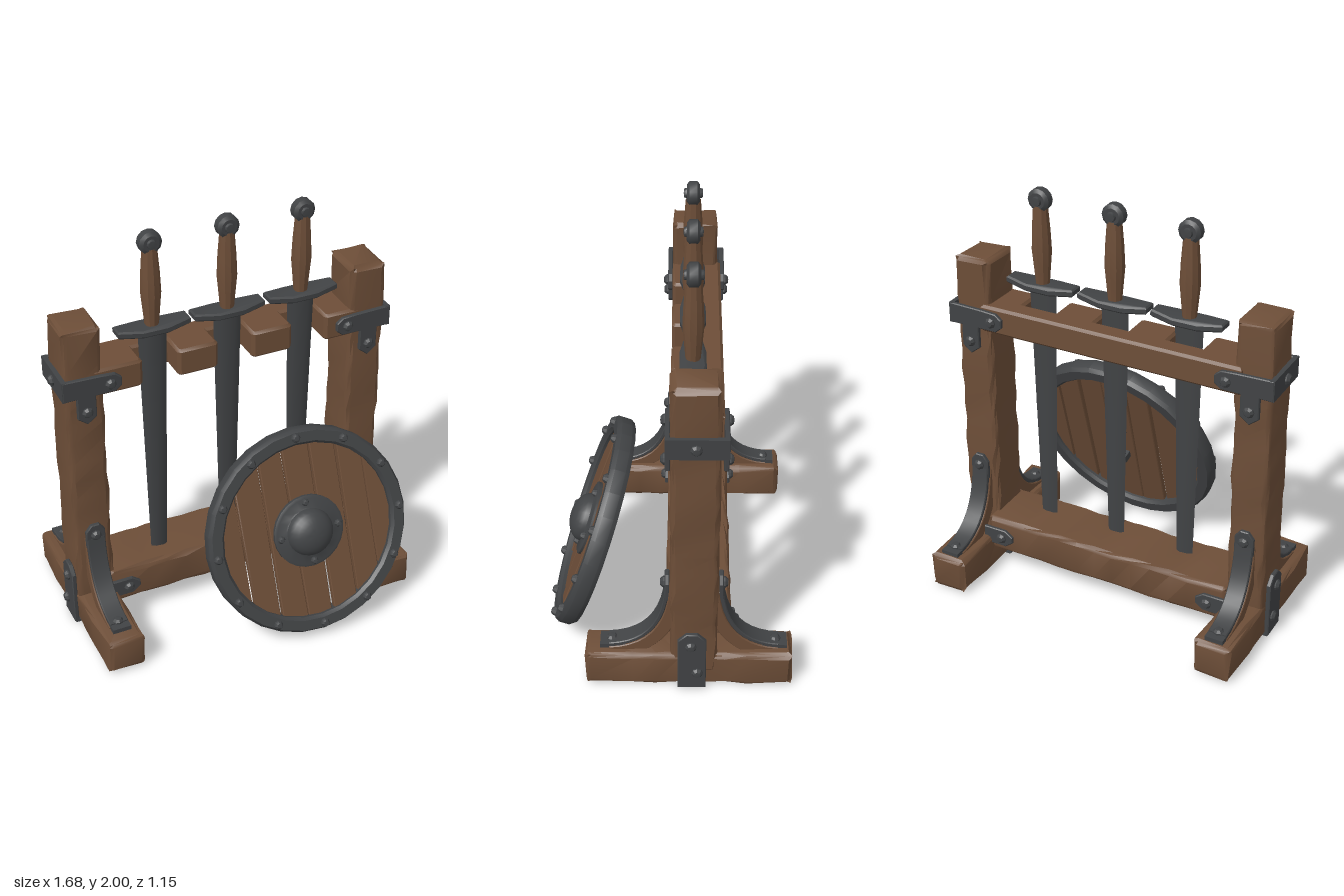
import * as THREE from 'three';
import { toCreasedNormals } from 'three/addons/utils/BufferGeometryUtils.js';

const wood = new THREE.MeshStandardMaterial({ color: 0x6d4e38 });
wood.name = 'brown wood';
const iron = new THREE.MeshStandardMaterial({ color: 0x414345 });
iron.name = 'dark iron';

function add(parent, name, geo, mat, x = 0, y = 0, z = 0) {
  const mesh = new THREE.Mesh(toCreasedNormals(geo, 0.6), mat);
  mesh.name = name;
  mesh.position.set(x, y, z);
  parent.add(mesh);
  return mesh;
}

// Rough-hewn timber: a box with worn edges and a slow wave along its length
function timber(w, h, d, seed, wear = 0.022, wave = 0.006) {
  const half = [w / 2, h / 2, d / 2];
  const seg = [w, h, d].map((s) => Math.max(3, Math.round(s / 0.1)));
  const geo = new THREE.BoxGeometry(w, h, d, ...seg);
  const p = geo.attributes.position;
  for (let i = 0; i < p.count; i++) {
    const v = [p.getX(i), p.getY(i), p.getZ(i)];
    const ends = v.map((c, k) => Math.abs(c) > half[k] - 1e-4);
    const onEdge = ends.filter(Boolean).length > 1;
    const o = v.map((c, k) => {
      const step = (2 * half[k]) / seg[k];
      if (ends[k]) return Math.sign(c) * (half[k] - (onEdge ? wear * 0.35 : 0));
      if (Math.abs(c) > half[k] - step - 1e-4) return Math.sign(c) * (half[k] - wear);
      return c;
    });
    const n = (a, b) => wave * Math.sin(a * 9 + b * 13 + seed) * Math.sin(a * 23 + seed * 2.7);
    p.setXYZ(i, o[0] + n(v[1] + v[2], v[0]), o[1] + n(v[0] + v[2], v[1]), o[2] + n(v[0] + v[1], v[2]));
  }
  return geo;
}

// Extruded outline, centred on its thickness
function slab(pts, depth, bevel = 0.004) {
  const shape = new THREE.Shape(pts.map(([x, y]) => new THREE.Vector2(x, y)));
  const geo = new THREE.ExtrudeGeometry(shape, {
    depth: depth - 2 * bevel, bevelEnabled: bevel > 0, bevelThickness: bevel,
    bevelSize: bevel, bevelOffset: -bevel, bevelSegments: 1,
  });
  return geo.translate(0, 0, bevel - depth / 2);
}

// Lathe turned to face +z
function turned(pts, sides) {
  return new THREE.LatheGeometry(pts.map(([r, y]) => new THREE.Vector2(r, y)), sides).rotateX(Math.PI / 2);
}

// Domed bolt head; dir is the axis it sticks out along
function bolt(parent, x, y, z, dir = [0, 0, 1], r = 0.026) {
  const geo = turned([[r, -0.004], [r, 0.008], [r * 0.6, 0.02], [0, 0.022]], 8);
  const mesh = add(parent, 'bolt', geo, iron, x, y, z);
  mesh.quaternion.setFromUnitVectors(new THREE.Vector3(0, 0, 1), new THREE.Vector3(...dir));
}

// Strip following a curve between two offsets, laid out in the z-y plane
function curvedBand(curve, inner, outer, width, dir) {
  const near = [], far = [];
  for (let i = 0; i <= 10; i++) {
    const c = curve.getPoint(i / 10), t = curve.getTangent(i / 10);
    near.push([dir * (c.x - t.y * outer), c.y + t.x * outer]);
    far.unshift([dir * (c.x - t.y * inner), c.y + t.x * inner]);
  }
  return slab(near.concat(far), width).rotateY(-Math.PI / 2);
}

function buildSide(s) {
  const side = new THREE.Group();
  side.name = s > 0 ? 'leftSupport' : 'rightSupport';
  const cx = s * 0.71;
  add(side, 'post', timber(0.18, 1.56, 0.215, s + 2), wood, cx, 0.86, -0.113);
  add(side, 'foot', timber(0.185, 0.18, 0.95, s * 2 + 5), wood, cx, 0.097, -0.095);

  // Curved braces with iron straps, front and back
  const curve = new THREE.QuadraticBezierCurve(
    new THREE.Vector2(0.005, 0.53), new THREE.Vector2(0.03, 0.21), new THREE.Vector2(0.28, 0.195));
  for (const dir of [1, -1]) {
    const face = dir > 0 ? -0.005 : -0.221;
    const bx = s * 0.708;
    add(side, 'brace', curvedBand(curve, -0.065, 0, 0.1, dir), wood, bx, 0, face);
    add(side, 'braceStrap', curvedBand(curve, 0, 0.02, 0.09, dir), iron, bx, 0, face);
    add(side, 'braceStrapTop', slab([[-0.047, 0.48], [0.047, 0.48], [0.047, 0.57], [0.02, 0.605], [-0.02, 0.605], [-0.047, 0.57]], 0.022),
      iron, bx, 0, face + dir * 0.013);
    add(side, 'braceStrapToe', new THREE.BoxGeometry(0.09, 0.022, 0.12), iron, bx, 0.198, face + dir * 0.26);
    bolt(side, bx, 0.55, face + dir * 0.024, [0, 0, dir]);
    bolt(side, bx, 0.208, face + dir * 0.265, [0, 1, 0]);

    // Tee-shaped bracket holding the upper beam
    const tee = [[0.82, 1.31], [0.82, 1.41], [0.64, 1.405], [0.57, 1.4], [0.54, 1.375], [0.54, 1.335], [0.57, 1.31],
      [0.665, 1.31], [0.665, 1.205], [0.71, 1.17], [0.755, 1.205], [0.755, 1.31]];
    const front = dir > 0 ? 0.006 : -0.244;
    add(side, 'upperBracket', slab(tee.map(([x, y]) => [s * x, y]), 0.022), iron, 0, 0, front);
    bolt(side, s * 0.595, 1.355, front + dir * 0.01, [0, 0, dir]);
    bolt(side, cx, 1.235, front + dir * 0.01, [0, 0, dir]);

    // Pointed bracket on the lower beam
    const low = [[0.66, 0.15], [0.66, 0.24], [0.54, 0.24], [0.5, 0.21], [0.5, 0.18], [0.54, 0.15]];
    const lowFace = dir > 0 ? 0.024 : -0.296;
    add(side, 'lowerBracket', slab(low.map(([x, y]) => [s * x, y]), 0.02), iron, 0, 0, lowFace);
    bolt(side, s * 0.56, 0.195, lowFace + dir * 0.009, [0, 0, dir]);
  }
  add(side, 'upperBracketSide', new THREE.BoxGeometry(0.022, 0.1, 0.268), iron, s * 0.81, 1.36, -0.119);
  bolt(side, s * 0.82, 1.36, -0.115, [s, 0, 0]);

  // Stirrup strap under the foot
  const strap = [[-0.065, 0.005], [0.065, 0.005], [0.065, 0.29], [0.025, 0.33], [-0.025, 0.33], [-0.065, 0.29]];
  add(side, 'stirrupOuter', slab(strap, 0.022).rotateY(Math.PI / 2), iron, s * 0.811, 0, -0.105);
  add(side, 'stirrupInner', new THREE.BoxGeometry(0.02, 0.23, 0.13), iron, s * 0.61, 0.12, -0.105);
  add(side, 'stirrupBase', new THREE.BoxGeometry(0.21, 0.014, 0.13), iron, cx, 0.008, -0.105);
  bolt(side, s * 0.82, 0.26, -0.1, [s, 0, 0]);
  bolt(side, s * 0.82, 0.1, -0.13, [s, 0, 0]);
  bolt(side, s * 0.602, 0.07, -0.105, [-s, 0, 0]);
  return side;
}

const swordX = [-0.345, 0.025, 0.4];

function buildSword(x) {
  const sword = new THREE.Group();
  sword.name = 'sword';
  sword.position.set(x, 0, -0.1);
  const blade = new THREE.CylinderGeometry(0.07, 0.042, 1.24, 6, 1, false, Math.PI / 2).scale(1, 1, 0.3);
  add(sword, 'blade', blade, iron, 0, 0.9, 0);
  const guard = slab([[-0.175, -0.035], [-0.06, -0.058], [0.06, -0.058], [0.175, -0.035],
    [0.175, 0.035], [0.06, 0.058], [-0.06, 0.058], [-0.175, 0.035]], 0.036, 0.008).rotateX(Math.PI / 2);
  const p = guard.attributes.position;
  for (let i = 0; i < p.count; i++) p.setY(i, p.getY(i) + 0.4 * p.getX(i) ** 2);
  add(sword, 'guard', guard, iron, 0, 1.52, 0);
  const grip = [[0.032, 1.53], [0.038, 1.6], [0.047, 1.7], [0.043, 1.8], [0.034, 1.92]];
  add(sword, 'grip', new THREE.LatheGeometry(grip.map(([r, y]) => new THREE.Vector2(r, y)), 10), wood);
  const pommel = [[0, -0.044], [0.02, -0.042], [0.023, -0.03], [0.038, -0.03], [0.054, -0.018],
    [0.054, 0.018], [0.038, 0.03], [0.023, 0.03], [0.02, 0.042], [0, 0.044]];
  add(sword, 'pommel', turned(pommel, 12), iron, 0, 1.946, 0);
  return sword;
}

function buildShield() {
  const shield = new THREE.Group();
  shield.name = 'shield';
  shield.position.set(0.225, 0.515, 0.36);
  shield.rotation.set(-0.325, -0.04, 0.03);

  // Planks cut to the round, with narrow uneven gaps
  const R = 0.465, n = 7, step = (2 * R) / n;
  for (let i = 0; i < n; i++) {
    const a = -R + i * step, lean = 0.008 * Math.sin(i * 2.4);
    const l = a + 0.004 + 0.003 * (i % 3), r = a + step - 0.003;
    const pts = [];
    for (const top of [-1, 1]) {
      for (let k = 0; k <= 5; k++) {
        const f = top < 0 ? k / 5 : 1 - k / 5;
        const x = THREE.MathUtils.clamp(l + (r - l) * f + lean * top * (f - 0.3), -R, R);
        pts.push([x, top * Math.max(0.02, Math.sqrt(R * R - x * x))]);
      }
    }
    add(shield, 'plank', slab(pts, 0.032), wood, 0, 0, 0.004 * Math.sin(i * 1.9));
  }

  const rim = [[0.495, -0.045], [0.508, -0.025], [0.508, 0.025], [0.495, 0.045], [0.445, 0.045],
    [0.432, 0.03], [0.432, -0.03], [0.445, -0.045], [0.495, -0.045]];
  add(shield, 'rim', turned(rim, 28), iron);
  for (let i = 0; i < 12; i++) {
    const t = (i / 12) * Math.PI * 2;
    bolt(shield, 0.472 * Math.cos(t), 0.472 * Math.sin(t), 0.045, [0, 0, 1], 0.022);
  }

  // Domed boss on a flat flange
  const boss = [[0.178, 0.01], [0.178, 0.03], [0.165, 0.036], [0.122, 0.036]];
  for (let k = 0; k <= 6; k++) {
    const t = (k / 6) * Math.PI / 2;
    boss.push([0.116 * Math.cos(t), 0.04 + 0.075 * Math.sin(t)]);
  }
  add(shield, 'boss', turned(boss, 24), iron);
  for (let i = 0; i < 4; i++) {
    const t = i * Math.PI / 2;
    bolt(shield, 0.148 * Math.cos(t), 0.148 * Math.sin(t), 0.035, [0, 0, 1], 0.018);
  }

  // Hand grip on the back
  add(shield, 'handle', new THREE.BoxGeometry(0.04, 0.18, 0.025), iron, 0, 0, -0.055);
  for (const s of [1, -1]) add(shield, 'handleMount', new THREE.BoxGeometry(0.06, 0.04, 0.055), iron, 0, s * 0.09, -0.04);
  return shield;
}

export function createModel() {
  const rack = new THREE.Group();
  rack.name = 'weaponRack';
  rack.add(buildSide(1), buildSide(-1));

  // Upper beam, notched at the front for each blade
  const outline = [[-0.66, -0.235], [0.66, -0.235], [0.66, -0.005]];
  for (const x of [...swordX].reverse()) {
    outline.push([x + 0.1, -0.005], [x + 0.085, -0.02], [x + 0.085, -0.135], [x - 0.085, -0.135], [x - 0.085, -0.02], [x - 0.1, -0.005]);
  }
  outline.push([-0.66, -0.005]);
  add(rack, 'upperBeam', slab(outline, 0.135, 0.012).rotateX(Math.PI / 2), wood, 0, 1.355, 0);
  add(rack, 'lowerBeam', timber(1.3, 0.185, 0.3, 4), wood, 0, 0.195, -0.136);

  for (const x of swordX) rack.add(buildSword(x));
  rack.add(buildShield());
  return rack;
}
